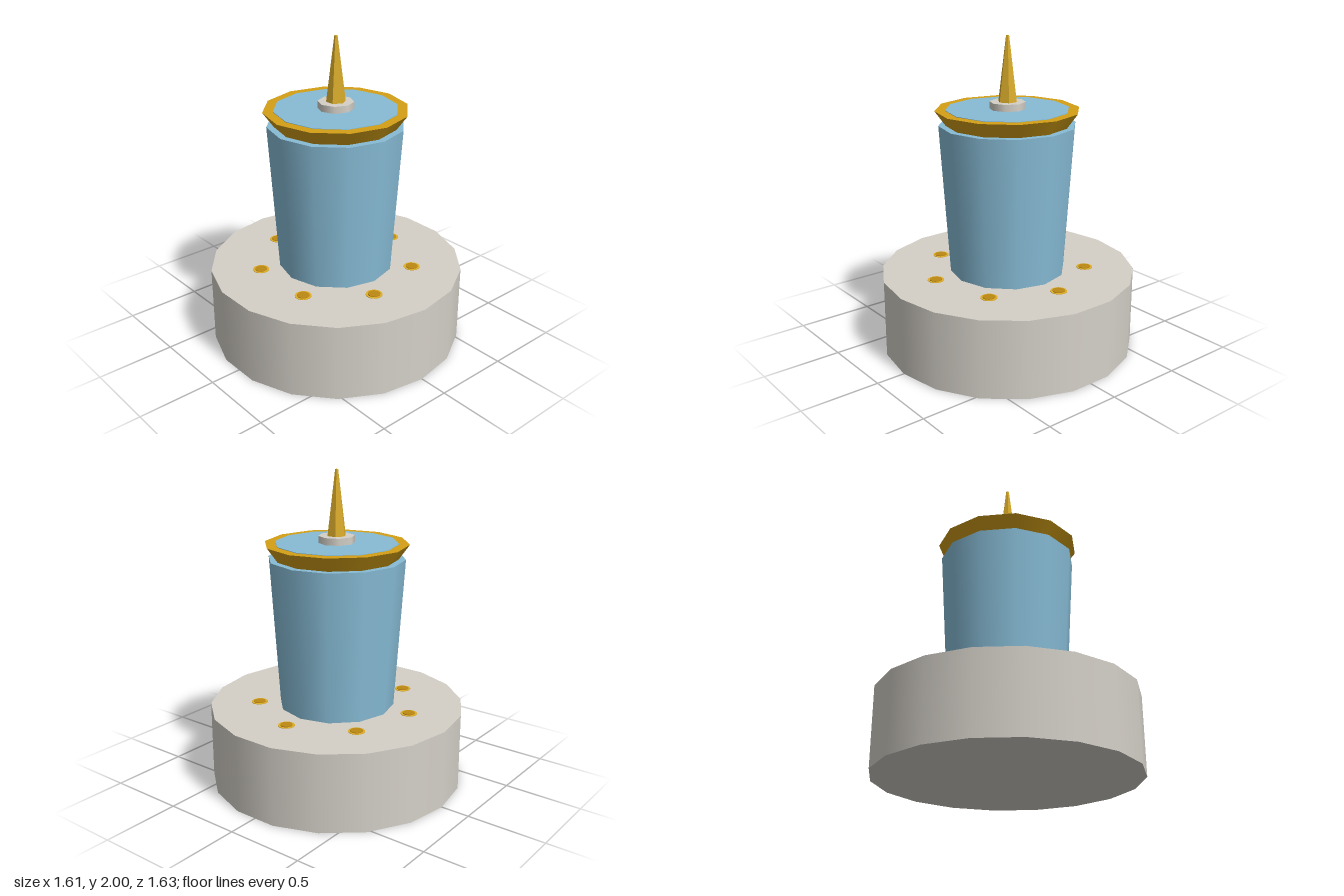
import * as THREE from 'three';

const paint = (color, flatShading = false) => new THREE.MeshStandardMaterial({ color, flatShading });
const stone = paint(0xd4d0c8);
const blue = paint(0x87bcd6);
const gold = paint(0xd4a017);
const spireGold = paint(0xd9ab2b, true);
const paleGold = paint(0xdfae28);
const darkGold = paint(0xbd8a12);

export function createModel() {
  const model = new THREE.Group();
  model.name = 'tower';

  // Upright tapered prism between two heights
  function drum(name, material, rBottom, rTop, y0, y1, sides, parent = model) {
    const mesh = new THREE.Mesh(new THREE.CylinderGeometry(rTop, rBottom, y1 - y0, sides), material);
    mesh.name = name;
    mesh.position.y = (y0 + y1) / 2;
    parent.add(mesh);
    return mesh;
  }

  // Broad plinth and flaring tower body
  drum('base', stone, 0.815, 0.815, 0, 0.5, 18);
  drum('body', blue, 0.37, 0.43, 0.5, 1.455, 12);

  // Flared crown rim with its inset lid
  drum('rim', gold, 0.385, 0.452, 1.455, 1.548, 12);
  drum('lid', blue, 0.387, 0.387, 1.5, 1.551, 12);

  // Collar and pointed spire
  drum('collar', stone, 0.113, 0.113, 1.55, 1.595, 8);
  drum('spire', spireGold, 0.061, 0.01, 1.595, 2, 6);

  // Ring of seven low studs on the plinth
  for (let i = 0; i < 7; i++) {
    const angle = (i / 7) * Math.PI * 2;
    const stud = new THREE.Group();
    stud.name = 'stud' + (i + 1);
    stud.position.set(0.5 * Math.cos(angle), 0, 0.5 * Math.sin(angle));
    drum('studRing', paleGold, 0.052, 0.052, 0.495, 0.503, 20, stud);
    drum('studCap', darkGold, 0.038, 0.038, 0.495, 0.507, 20, stud);
    model.add(stud);
  }

  return model;
}
